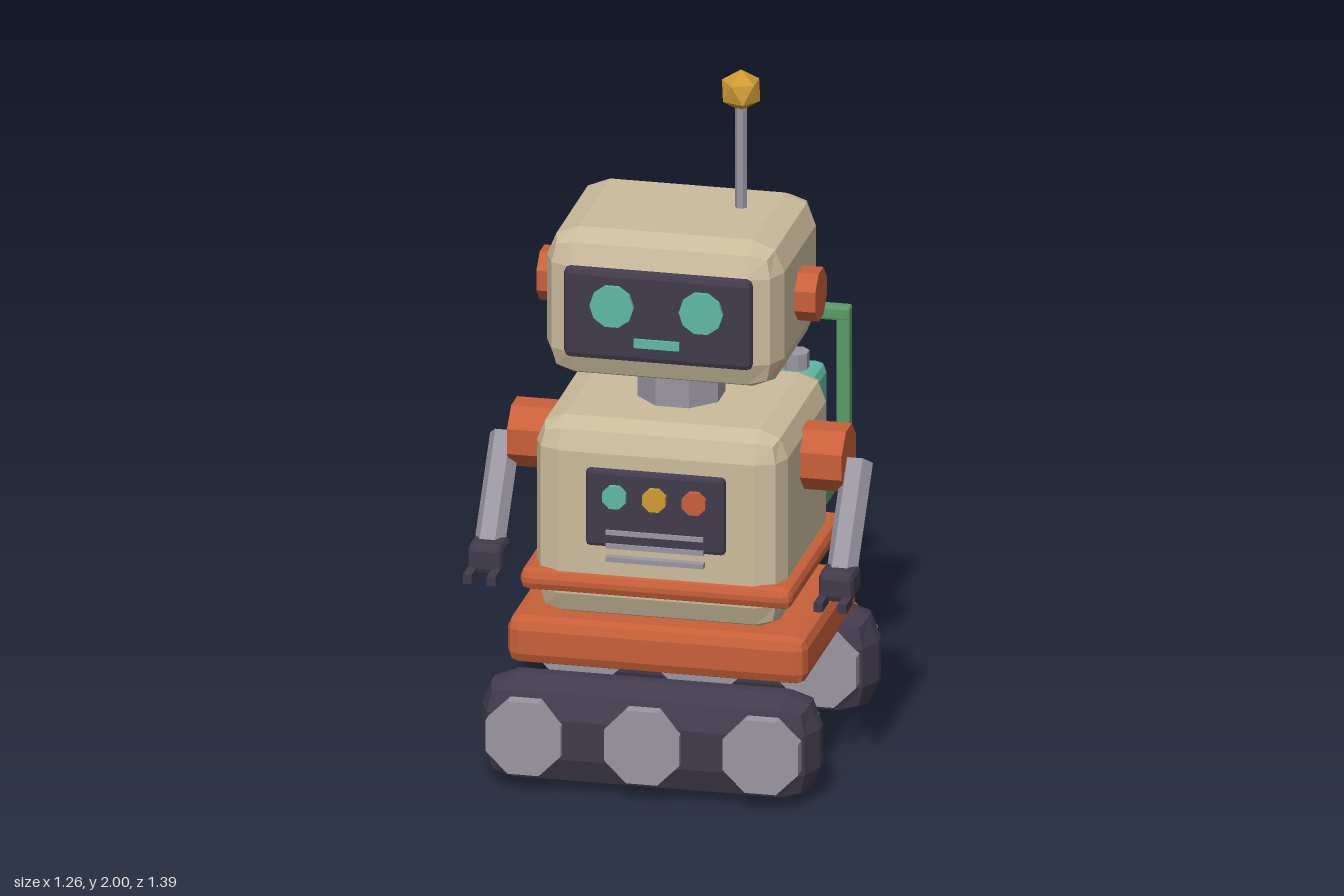
import * as THREE from 'three';
import { RoundedBoxGeometry } from 'three/addons/geometries/RoundedBoxGeometry.js';

function mat(name, hex) {
  const m = new THREE.MeshStandardMaterial({ color: hex });
  m.name = name;
  return m;
}

export function createModel() {
  const beige = mat('beige', 0xcbbb9c);
  const orange = mat('orange', 0xc8603a);
  const dark = mat('dark', 0x413b4c);
  const grey = mat('grey', 0x9a96a2);
  const teal = mat('teal', 0x5fb8a4);
  const yellow = mat('yellow', 0xcf9b35);
  const green = mat('green', 0x5a9a68);

  const model = new THREE.Group();
  model.name = 'robot';
  // The robot stands turned a little to its left
  const robot = new THREE.Group();
  robot.name = 'turnedBody';
  robot.rotation.y = THREE.MathUtils.degToRad(25);
  robot.position.set(-0.004, 0, 0.055);
  model.add(robot);

  // Adds a faceted mesh
  function add(name, geometry, material, x, y, z) {
    const g = geometry.index ? geometry.toNonIndexed() : geometry;
    g.computeVertexNormals();
    const mesh = new THREE.Mesh(g, material);
    mesh.name = name;
    mesh.position.set(x, y, z);
    robot.add(mesh);
    return mesh;
  }
  // Bevelled box (plain when r is 0)
  function box(name, material, w, h, d, r, x, y, z) {
    const g = r ? new RoundedBoxGeometry(w, h, d, 1, r) : new THREE.BoxGeometry(w, h, d);
    return add(name, g, material, x, y, z);
  }
  // Faceted cylinder along a chosen axis, with a flat side facing outward
  function cyl(name, material, r, length, sides, axis, x, y, z) {
    const g = new THREE.CylinderGeometry(r, r, length, sides);
    g.rotateY(Math.PI / sides);
    if (axis === 'x') g.rotateZ(Math.PI / 2);
    if (axis === 'z') g.rotateX(Math.PI / 2);
    return add(name, g, material, x, y, z);
  }

  // Tracks with three wheels running through each
  for (const [side, s] of [['front', 1], ['back', -1]]) {
    box(side + 'Track', dark, 0.97, 0.315, 0.235, 0.1, 0, 0.16, s * 0.36);
    for (const x of [-0.34, 0, 0.34]) {
      cyl(side + 'Wheel', grey, 0.117, 0.272, 8, 'z', x, 0.163, s * 0.36);
    }
  }

  // Chassis, torso, belt and neck
  box('chassis', orange, 0.86, 0.14, 0.65, 0.035, 0, 0.385, 0);
  box('torso', beige, 0.72, 0.585, 0.63, 0.08, 0, 0.75, 0);
  box('belt', orange, 0.78, 0.065, 0.665, 0.025, 0, 0.573, 0);
  cyl('neck', grey, 0.125, 0.18, 8, 'y', 0, 1.1, 0);

  // Chest panel, buttons and vents
  box('chestPanel', dark, 0.4, 0.23, 0.03, 0.012, 0, 0.805, 0.317);
  [teal, yellow, orange].forEach((m, i) => {
    cyl('chestButton', m, 0.036, 0.025, 8, 'z', (i - 1) * 0.114, 0.845, 0.335);
  });
  for (const y of [0.737, 0.697, 0.657]) {
    box('ventBar', grey, 0.28, 0.014, 0.025, 0, 0, y, 0.325);
  }

  // Head, face and antenna
  box('head', beige, 0.68, 0.435, 0.57, 0.09, 0, 1.373, 0);
  box('faceScreen', dark, 0.54, 0.27, 0.04, 0.018, 0, 1.37, 0.285);
  for (const s of [-1, 1]) {
    cyl('eye', teal, 0.063, 0.025, 10, 'z', s * 0.128, 1.402, 0.305);
    cyl('ear', orange, 0.077, 0.08, 8, 'x', s * 0.36, 1.37, 0);
  }
  box('mouth', teal, 0.13, 0.026, 0.02, 0, 0, 1.297, 0.303);
  cyl('antennaStalk', grey, 0.017, 0.34, 6, 'y', 0.158, 1.74, -0.055);
  const ball = new THREE.IcosahedronGeometry(0.0615, 0);
  ball.rotateZ(0.5536);
  add('antennaBall', ball, yellow, 0.158, 1.9385, -0.055);

  // Arms
  for (const s of [-1, 1]) {
    cyl('shoulder', orange, 0.097, 0.14, 8, 'x', s * 0.41, 0.89, 0);
    const from = new THREE.Vector3(s * 0.505, 0.88, 0);
    const to = new THREE.Vector3(s * 0.505, 0.615, 0.2);
    const dir = to.clone().sub(from);
    const mid = from.clone().add(to).multiplyScalar(0.5);
    const arm = cyl('arm', grey, 0.044, dir.length(), 6, 'y', mid.x, mid.y, mid.z);
    arm.quaternion.setFromUnitVectors(new THREE.Vector3(0, 1, 0), dir.normalize());
    box('hand', dark, 0.1, 0.09, 0.12, 0.02, s * 0.503, 0.6, 0.215);
    for (const f of [-0.034, 0.034]) {
      box('finger', dark, 0.025, 0.028, 0.08, 0, s * 0.503 + f, 0.563, 0.295);
    }
  }

  // Cargo rack: floor, rims and rear frame
  box('rackFloor', green, 0.67, 0.03, 0.36, 0, 0, 0.627, -0.495);
  for (const s of [-1, 1]) {
    box('rackSideRim', green, 0.04, 0.045, 0.36, 0.008, s * 0.315, 0.64, -0.495);
    box('rackPost', green, 0.04, 0.48, 0.04, 0.008, s * 0.315, 0.853, -0.655);
  }
  for (const y of [0.64, 1.073]) {
    box('rackRearBar', green, 0.67, 0.042, 0.042, 0.008, 0, y, -0.655);
  }

  // Cargo: strapped crate and capped canister
  box('crate', yellow, 0.37, 0.275, 0.245, 0.03, -0.083, 0.78, -0.5);
  box('crateStrap', orange, 0.39, 0.038, 0.265, 0, -0.083, 0.79, -0.5);
  box('canister', teal, 0.15, 0.315, 0.18, 0.03, 0.211, 0.8, -0.5);
  cyl('canisterCap', grey, 0.04, 0.07, 8, 'y', 0.211, 0.97, -0.5);

  return model;
}
